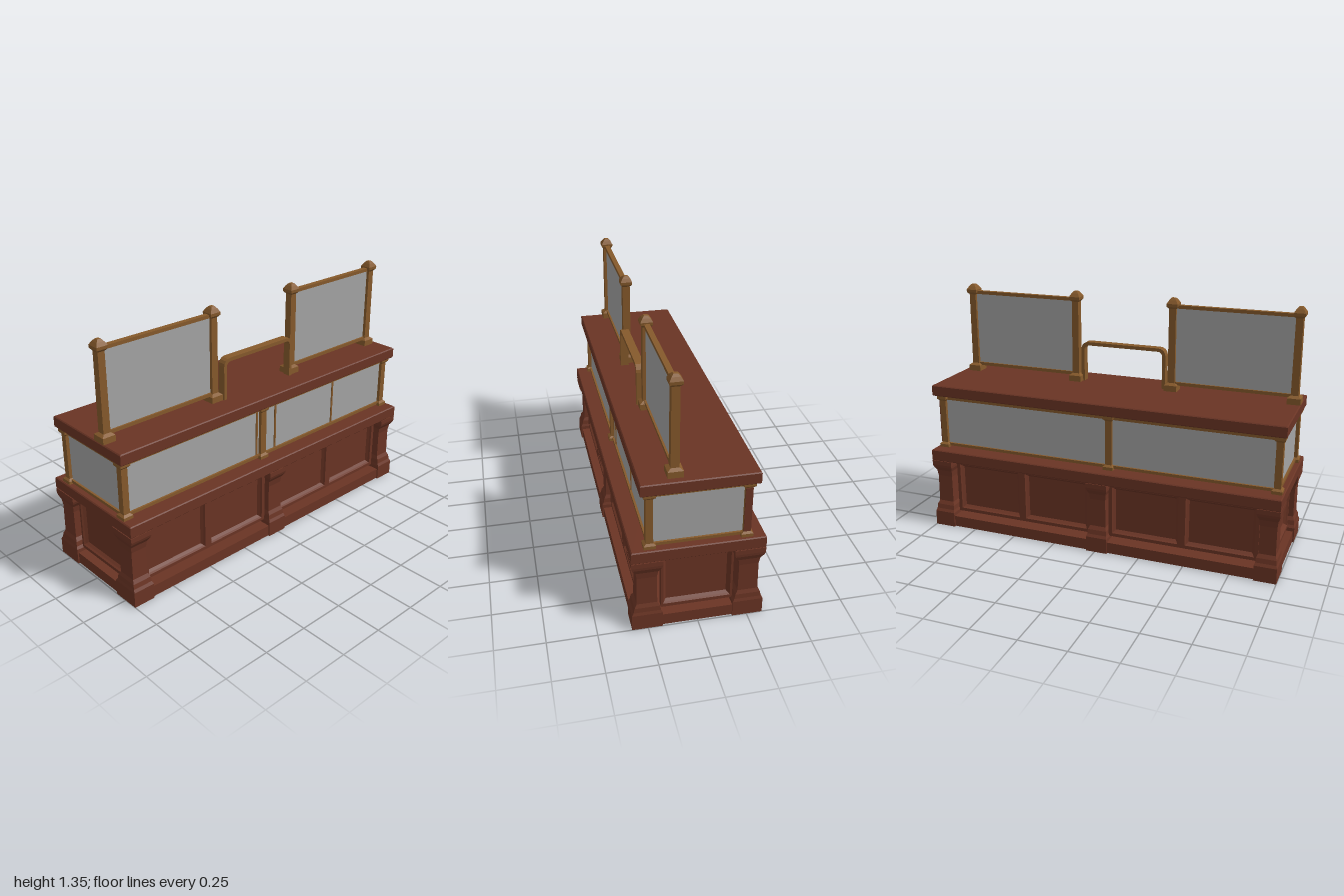
import * as THREE from 'three';

const mat = (name, color) => {
  const m = new THREE.MeshStandardMaterial({ color });
  m.name = name;
  return m;
};

export function createModel() {
  const model = new THREE.Group();
  model.name = 'displayCounter';
  const wood = mat('redWood', 0x6a3424);
  const brass = mat('brass', 0x85592b);
  const glass = mat('greyGlass', 0xa4a4a4);

  const add = (name, geo, material, x = 0, y = 0, z = 0, ry = 0) => {
    const mesh = new THREE.Mesh(geo, material);
    mesh.name = name;
    mesh.position.set(x, y, z);
    mesh.rotation.y = ry;
    model.add(mesh);
    return mesh;
  };
  const box = (name, material, w, h, d, x, y, z) =>
    add(name, new THREE.BoxGeometry(w, h, d), material, x, y, z);

  // Rectangular loft: rows of [y, half width, half depth], flat shaded and capped
  const loft = (rows) => {
    const all = [[rows[0][0], 0, 0], ...rows, [rows.at(-1)[0], 0, 0]];
    const lathe = new THREE.LatheGeometry(all.map(([y, r]) => new THREE.Vector2(r, y)), 4);
    lathe.rotateY(Math.PI / 4);
    const p = lathe.attributes.position;
    for (let i = 0; i < p.count; i++) {
      const [y, hx, hz] = all[i % all.length];
      p.setXYZ(i, Math.sign(p.getX(i)) * hx, y, Math.sign(p.getZ(i)) * hz);
    }
    const geo = lathe.toNonIndexed();
    geo.computeVertexNormals();
    return geo;
  };
  const slab = (y0, y1, hx, hz, c = 0.005) => loft([
    [y0, hx - c, hz - c], [y0 + c, hx, hz], [y1 - c, hx, hz], [y1, hx - c, hz - c]]);

  // Plinth and the two counter slabs
  box('plinth', wood, 1.985, 0.062, 0.645, 0, 0.034, 0);
  add('lowerCounter', slab(0.4, 0.465, 1, 0.33), wood);
  add('upperCounter', slab(0.773, 0.835, 1, 0.285), wood);

  // Recessed panel: a frame rim sloping in to a sunken field, facing +z
  const panel = (w, side) => {
    const hx = w / 2, hy = 0.153;
    return loft([
      [-0.035, hx, hy], [0, hx, hy], [0, hx - side, hy - 0.018],
      [-0.009, hx - side - 0.005, hy - 0.023], [-0.022, hx - side - 0.016, hy - 0.034],
    ]).rotateX(Math.PI / 2);
  };
  const longPanel = panel(0.413, 0.02), endPanel = panel(0.362, 0.012);
  for (const s of [1, -1]) {
    for (const x of [-0.6835, -0.2705, 0.2515, 0.6645])
      add('longPanel', longPanel, wood, x, 0.24, s * 0.28, s > 0 ? 0 : Math.PI);
    add('endPanel', endPanel, wood, s * 0.96, 0.238, -0.002, s * Math.PI / 2);
  }

  // Flared pilasters
  const pilaster = loft([
    [0, 0.06, 0.077], [0.085, 0.06, 0.077], [0.1, 0.055, 0.068], [0.125, 0.053, 0.063], [0.145, 0.045, 0.051],
    [0.3, 0.044, 0.049], [0.335, 0.048, 0.055], [0.36, 0.058, 0.072], [0.375, 0.06, 0.077], [0.4, 0.06, 0.077]]);
  for (const x of [-0.94, -0.01, 0.94])
    for (const z of [-0.253, 0.253]) add('pilaster', pilaster, wood, x, 0, z);

  // Display case posts with small feet and caps
  const casePost = loft([
    [0.465, 0.028, 0.03], [0.482, 0.028, 0.03], [0.492, 0.018, 0.018],
    [0.74, 0.018, 0.018], [0.752, 0.028, 0.03], [0.773, 0.028, 0.03]]);
  for (const z of [-0.237, 0.237])
    for (const x of [-0.963, -0.054, 0.955]) add('casePost', casePost, brass, x, 0, z);
  box('redPostFace', wood, 0.004, 0.245, 0.036, 0.975, 0.617, -0.237);

  // Display case rails and panes
  for (const s of [1, -1]) {
    for (const y of [0.48, 0.755]) {
      box('longRail', brass, 1.9, 0.016, 0.022, -0.004, y, s * 0.237);
      box('endRail', brass, 0.022, 0.016, 0.46, s * 0.959 - 0.004, y, 0);
    }
    box('longPane', glass, 1.9, 0.265, 0.008, -0.004, 0.617, s * 0.233);
    box('endPane', glass, 0.008, 0.265, 0.46, s * 0.955 - 0.004, 0.617, 0);
  }
  for (const x of [-0.09, -0.026, 0.048, 0.51]) box('mullion', brass, 0.011, 0.265, 0.014, x, 0.617, 0.235);

  // Upper screens
  const screenPost = loft([
    [0.835, 0.036, 0.038], [0.868, 0.036, 0.038], [0.88, 0.02, 0.021], [1.29, 0.019, 0.02],
    [1.302, 0.03, 0.031], [1.318, 0.031, 0.032], [1.336, 0.02, 0.021], [1.348, 0.01, 0.01]]);
  for (const [x0, x1] of [[-0.963, -0.288], [0.28, 0.929]]) {
    const mid = (x0 + x1) / 2, w = x1 - x0;
    for (const x of [x0, x1]) add('screenPost', screenPost, brass, x, 0, 0.113);
    for (const y of [0.876, 1.302]) box('screenRail', brass, w, 0.018, 0.028, mid, y, 0.113);
    box('screenPane', glass, w - 0.03, 0.415, 0.008, mid, 1.089, 0.113);
  }

  // Rounded service arch between the screens
  const trace = (hw, top, r) => {
    const half = [[-hw, 0.835]];
    for (let i = 0; i <= 4; i++) {
      const a = Math.PI - i * Math.PI / 8;
      half.push([-hw + r + Math.cos(a) * r, top - r + Math.sin(a) * r]);
    }
    return [...half, ...half.map(([x, y]) => [-x, y]).reverse()];
  };
  const arch = new THREE.Shape([...trace(0.25, 1.062, 0.042), ...trace(0.231, 1.043, 0.025).reverse()]
    .map(([x, y]) => new THREE.Vector2(x, y)));
  add('serviceArch', new THREE.ExtrudeGeometry(arch, { depth: 0.045, bevelEnabled: false }), brass, 0.003, 0, 0.113);

  return model;
}
